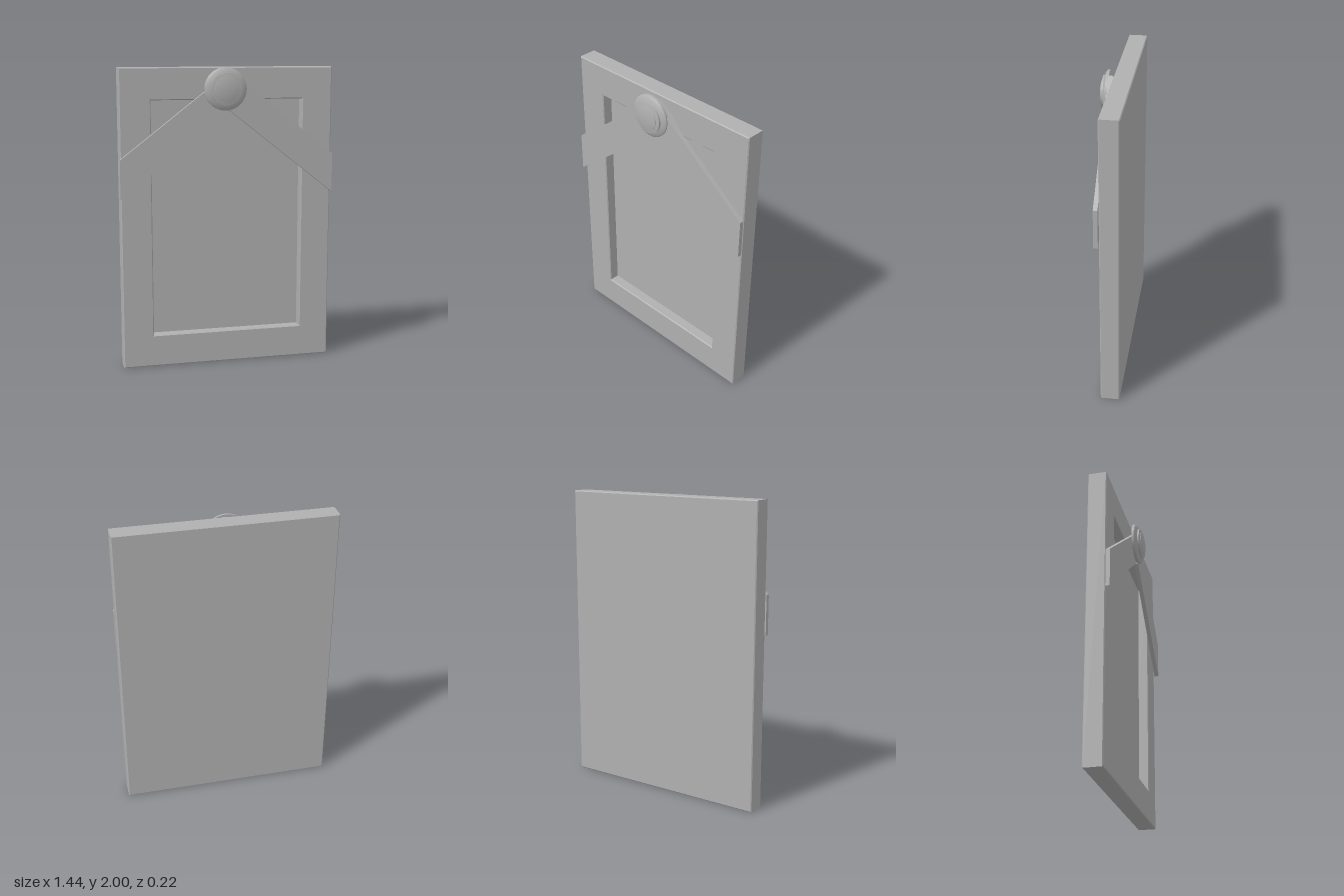
import * as THREE from 'three';

const polygon = (points) => new THREE.Shape(points.map(([x, y]) => new THREE.Vector2(x, y)));
const rect = (x0, x1, y0, y1) => [[x0, y0], [x1, y0], [x1, y1], [x0, y1]];

export function createModel() {
  const model = new THREE.Group();
  const grey = new THREE.MeshStandardMaterial({ color: 0xb0b0b0 });
  grey.name = 'grey';

  const add = (name, geometry) => {
    const mesh = new THREE.Mesh(geometry, grey);
    mesh.name = name;
    model.add(mesh);
    return mesh;
  };

  // Frame with a rectangular opening and finely chamfered edges
  const bevel = 0.006;
  const outline = polygon(rect(-0.715, 0.715, 0, 2));
  outline.holes.push(polygon(rect(-0.51, 0.51, 0.215, 1.79)));
  const frame = add('frame', new THREE.ExtrudeGeometry(outline, {
    depth: 0.125 - 2 * bevel, bevelEnabled: true, bevelSegments: 1,
    bevelSize: bevel, bevelThickness: bevel, bevelOffset: -bevel,
  }));
  frame.position.z = -0.11 + bevel;

  // Sunken panel that closes the opening flush with the back
  const panel = add('recessedPanel', new THREE.BoxGeometry(1.05, 1.605, 0.055));
  panel.position.set(0, 1.0025, -0.0825);

  // Ribbon bands crossing under the rosette; depth may drift along x
  const band = (name, corners, z, drift = 0) => {
    const geometry = new THREE.ExtrudeGeometry(polygon(corners), { depth: 0.028, bevelEnabled: false });
    const p = geometry.attributes.position;
    for (let i = 0; i < p.count; i++) p.setZ(i, p.getZ(i) + z + drift * p.getX(i));
    geometry.computeVertexNormals();
    add(name, geometry);
  };
  band('rightRibbon', [[-0.72, 1.15], [0.0, 1.72], [0.17, 1.853], [0.02, 1.98], [-0.72, 1.41]], 0.016);
  band('leftRibbon', [[0.004, 1.72], [0.717, 1.16], [0.717, 1.42], [0.004, 1.98]], 0.031, -0.014);

  // Stepped rosette: each tier is a lathe with its own smooth rim
  const rosette = new THREE.Group();
  rosette.name = 'rosette';
  const tiers = [
    ['rosetteBase', [[0.14, 0.05], [0.14, 0.066]]],
    ['rosetteBaseSlope', [[0.14, 0.066], [0.126, 0.077], [0.104, 0.083]]],
    ['rosetteStep', [[0.105, 0.08], [0.105, 0.094]]],
    ['rosetteStepFace', [[0.105, 0.094], [0.078, 0.099]]],
    ['rosetteButtonRim', [[0.079, 0.097], [0.079, 0.102]]],
    ['rosetteButton', [[0.079, 0.102], [0.06, 0.106], [0.032, 0.109], [0, 0.11]]],
  ];
  for (const [name, profile] of tiers) {
    const mesh = add(name, new THREE.LatheGeometry(profile.map(([r, h]) => new THREE.Vector2(r, h)), 40));
    rosette.add(mesh);
  }
  rosette.rotation.x = Math.PI / 2;
  rosette.position.set(-0.025, 1.86, 0);
  model.add(rosette);

  return model;
}
